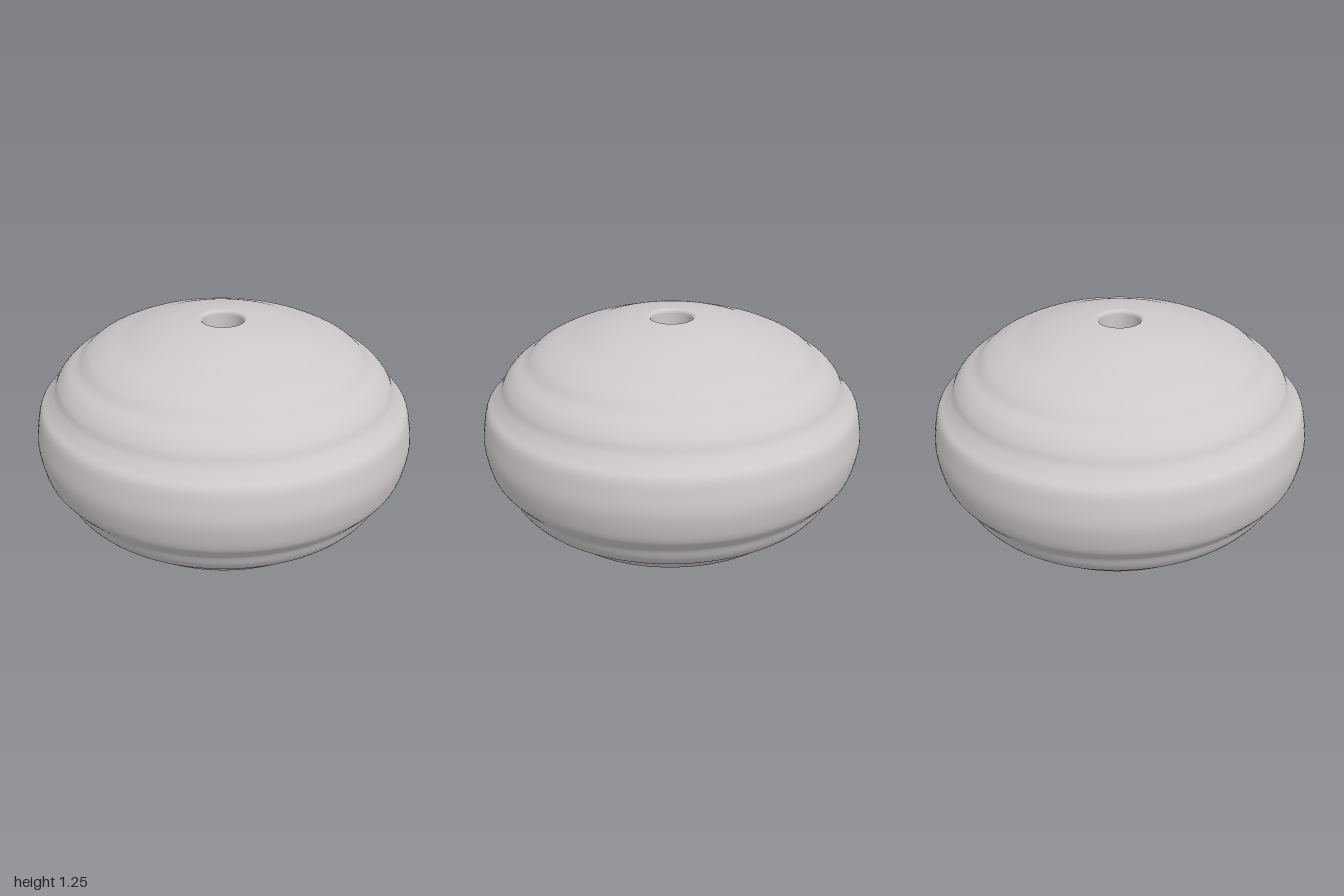
import * as THREE from 'three';

export function createModel() {
  const group = new THREE.Group();
  const stone = new THREE.MeshStandardMaterial({ color: 0xcdc8c9 });
  stone.name = 'pale grey';

  // Outer profile with shallow rings, bottom rim to top rim (radius, height)
  const outer = [
    [0.107, 0.02], [0.113, 0.005], [0.14, 0], [0.26, 0.015], [0.385, 0.04], [0.52, 0.088],
    [0.64, 0.14], [0.695, 0.185], [0.745, 0.23], [0.805, 0.268], [0.852, 0.325],
    [0.88, 0.385], [0.912, 0.425], [0.95, 0.475], [0.972, 0.55], [0.983, 0.635],
    [0.974, 0.72], [0.955, 0.8], [0.915, 0.845], [0.88, 0.89], [0.855, 0.94],
    [0.81, 0.99], [0.75, 1.03], [0.695, 1.08], [0.61, 1.125], [0.51, 1.16],
    [0.4, 1.2], [0.27, 1.232], [0.14, 1.25], [0.113, 1.245], [0.107, 1.23],
  ].map(([r, y]) => new THREE.Vector2(r, y));
  const profile = new THREE.SplineCurve(outer).getPoints(150);

  // Bore through the middle, closing the profile
  for (let i = 1; i <= 6; i++) profile.push(new THREE.Vector2(0.107, 1.23 - (1.21 * i) / 6));

  const geometry = new THREE.LatheGeometry(profile, 128);

  // Slightly uneven, hand-worked outline that fades out towards the bore
  const pos = geometry.attributes.position;
  for (let i = 0; i < pos.count; i++) {
    const x = pos.getX(i), z = pos.getZ(i);
    const r = Math.hypot(x, z), a = Math.atan2(z, x);
    const fade = THREE.MathUtils.smoothstep(r, 0.12, 0.6);
    const k = 1 + fade * (0.007 - 0.008 * Math.cos(2 * a) - 0.006 * Math.cos(3 * a));
    pos.setX(i, x * k);
    pos.setZ(i, z * k);
  }

  const bead = new THREE.Mesh(geometry, stone);
  bead.name = 'bead';
  group.add(bead);
  return group;
}
